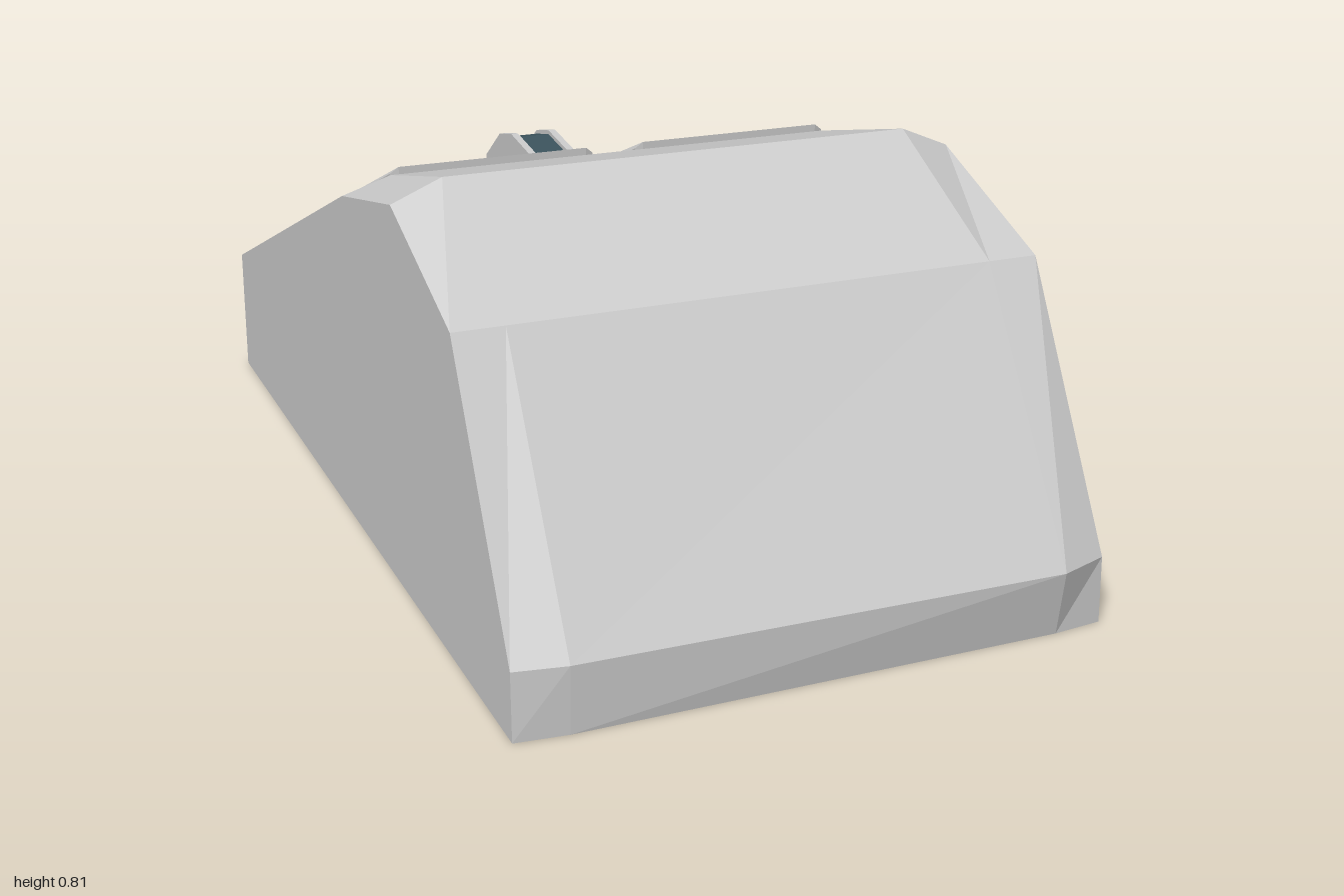
import * as THREE from 'three';

// Lofts closed [z, y] profiles (front-bottom, over the top, to the back) along ascending x, with capped ends.
function loft(sections) {
  const pos = [];
  const tri = (...pts) => pts.forEach((p) => pos.push(...p));
  const rows = sections.map(({ x, pts }) => pts.map(([z, y]) => [x, y, z]));
  const n = rows[0].length;
  for (let i = 0; i < rows.length - 1; i++) {
    const a = rows[i], b = rows[i + 1];
    for (let j = 0; j < n; j++) {
      const k = (j + 1) % n;
      tri(a[j], b[j], b[k]);
      tri(a[j], b[k], a[k]);
    }
  }
  const first = rows[0], last = rows[rows.length - 1];
  for (let j = 1; j < n - 1; j++) {
    tri(first[0], first[j], first[j + 1]);
    tri(last[0], last[j + 1], last[j]);
  }
  const g = new THREE.BufferGeometry();
  g.setAttribute('position', new THREE.Float32BufferAttribute(pos, 3));
  g.computeVertexNormals();
  return g;
}

const slab = (x0, x1, pts) => loft([{ x: x0, pts }, { x: x1, pts }]);

export function createModel() {
  const model = new THREE.Group();
  model.name = 'computerMouse';
  const grey = new THREE.MeshStandardMaterial({ color: 0xcccccc });
  grey.name = 'light grey';
  const teal = new THREE.MeshStandardMaterial({ color: 0x3c545d });
  teal.name = 'dark teal';
  const add = (name, geo, mat, parent = model) => {
    const m = new THREE.Mesh(geo, mat);
    m.name = name;
    parent.add(m);
    return m;
  };

  // Shell: humped profile, lowered along both long edges
  const edge = [[0.97, 0], [0.965, 0.13], [0.685, 0.63], [0.345, 0.763], [0.005, 0.69], [-0.985, 0.28], [-0.985, 0]];
  const crown = (frontZ) => [[0.98, 0], [frontZ, 0.13], [0.685, 0.63], [0.345, 0.805], [0.005, 0.722], [-0.985, 0.312], [-0.985, 0]];
  add('body', loft([
    { x: -0.577, pts: edge },
    { x: -0.477, pts: crown(0.982) },
    { x: 0.477, pts: crown(1) },
    { x: 0.577, pts: edge },
  ]), grey);

  // Two raised buttons that hang over the back as a short lip
  const raised = [[0.005, 0.69], [0.005, 0.737], [-1, 0.327], [-1, 0.24], [-0.984, 0.21]];
  const low = [[0.001, 0.69], [0.001, 0.724], [-0.992, 0.312], [-0.992, 0.245], [-0.984, 0.225]];
  const button = [{ x: 0.047, pts: low }, { x: 0.063, pts: raised }, { x: 0.46, pts: raised }, { x: 0.477, pts: low }];
  const mirrored = button.map(({ x, pts }) => ({ x: -x, pts })).reverse();
  add('leftButton', loft(button), grey);
  add('rightButton', loft(mirrored), grey);

  // Dark inner ends of the button lips
  for (const s of [-1, 1]) {
    const plate = add('lipEnd', new THREE.BoxGeometry(0.008, 0.095, 0.014), teal);
    plate.position.set(s * 0.048, 0.272, -0.991);
  }

  // Scroll wheel: dark tread between two grey flanges
  const wheel = new THREE.Group();
  wheel.name = 'scrollWheel';
  model.add(wheel);
  const rim = [[-0.34, 0.5], [-0.34, 0.595], [-0.365, 0.632], [-0.485, 0.65], [-0.565, 0.632], [-0.662, 0.56], [-0.681, 0.44], [-0.66, 0.38]];
  const tread = rim.map(([z, y]) => [-0.51 + (z + 0.51) * 0.96, 0.47 + (y - 0.47) * 0.95]);
  add('tread', slab(-0.037, 0.037, tread), teal, wheel);
  add('leftFlange', slab(0.037, 0.053, rim), grey, wheel);
  add('rightFlange', slab(-0.053, -0.037, rim), grey, wheel);

  return model;
}
